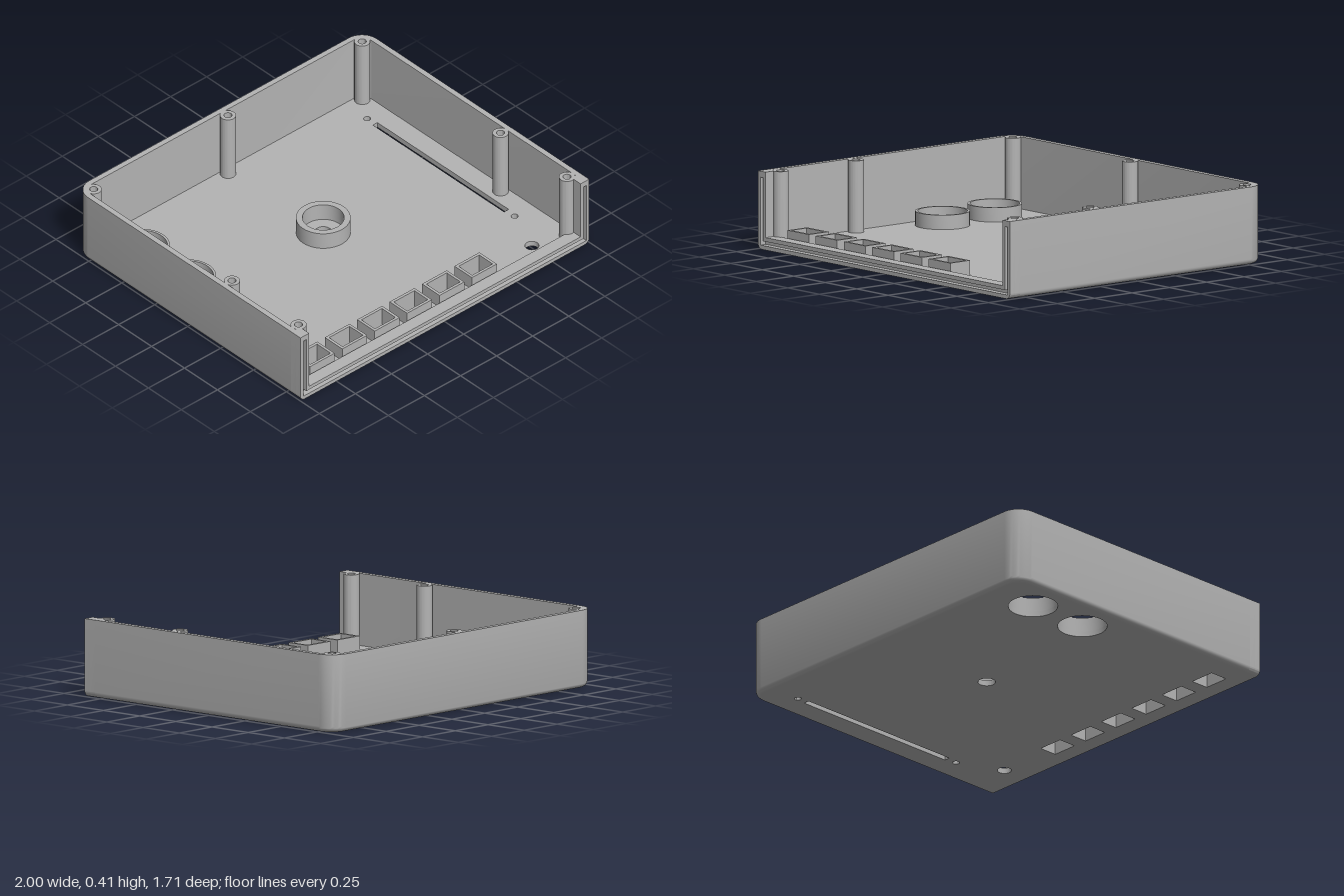
import * as THREE from 'three';
import { toCreasedNormals } from 'three/addons/utils/BufferGeometryUtils.js';

const W = 1, BACK = -0.858, FRONT = 0.857, FRAME_Z = 0.786; // half width, depth limits
const H = 0.405, T = 0.03, R = 0.1; // height, wall thickness, corner radius

export function createModel() {
  const group = new THREE.Group();
  const grey = new THREE.MeshStandardMaterial({ color: 0xb4b4b4 });
  grey.name = 'grey plastic';

  const add = (name, geometry) => {
    const mesh = new THREE.Mesh(toCreasedNormals(geometry, 0.6), grey);
    mesh.name = name;
    group.add(mesh);
    return mesh;
  };
  const circle = (x, z, r, Type = THREE.Path) => {
    const p = new Type();
    p.absarc(x, z, r, 0, Math.PI * 2);
    return p;
  };
  const rect = (x0, z0, x1, z1, Type = THREE.Path) => {
    const p = new Type();
    p.moveTo(x0, z0).lineTo(x1, z0).lineTo(x1, z1).lineTo(x0, z1).closePath();
    return p;
  };
  // Plan shape (x, z) raised from y0 to y1
  const slab = (shape, y0, y1) =>
    new THREE.ExtrudeGeometry(shape, { depth: y1 - y0, bevelEnabled: false, curveSegments: 24 })
      .rotateX(Math.PI / 2).translate(0, y1, 0);
  const ring = (name, x, z, rOut, rIn, y0, y1) => {
    const s = circle(x, z, rOut, THREE.Shape);
    s.holes.push(circle(x, z, rIn));
    add(name, slab(s, y0, y1));
  };

  // U-shaped plan outline, inset by d, from left front round the back to right front
  const outline = (d) => {
    const pts = [[-(W - d), FRAME_Z]];
    for (const [cx, start] of [[-(W - R), Math.PI], [W - R, Math.PI * 1.5]]) {
      for (let i = 0; i <= 12; i++) {
        const a = start + (i / 12) * Math.PI / 2;
        pts.push([cx + (R - d) * Math.cos(a), BACK + R + (R - d) * Math.sin(a)]);
      }
    }
    pts.push([W - d, FRAME_Z]);
    return pts;
  };

  // Walls: section with rounded bottom edge swept along the outline
  const section = [];
  for (let i = 0; i <= 6; i++) {
    const a = (i / 6) * Math.PI / 2;
    section.push([T * (1 - Math.sin(a)), T * (1 - Math.cos(a))]);
  }
  section.push([0, H], [T, H], [T, T]);
  const pos = [], index = [];
  section.forEach(([d, y], j) => {
    const pts = outline(d), n = pts.length;
    pts.forEach(([x, z], i) => {
      pos.push(x, y, z);
      if (j < section.length - 1 && i < n - 1) {
        const a = j * n + i, up = a + n;
        index.push(a, up, a + 1, a + 1, up, up + 1);
      }
    });
  });
  const walls = new THREE.BufferGeometry();
  walls.setAttribute('position', new THREE.Float32BufferAttribute(pos, 3));
  walls.setIndex(index);
  add('walls', walls);

  // Floor with all its openings
  const floor = new THREE.Shape(outline(T).map(([x, z]) => new THREE.Vector2(x, z)));
  const dials = [[-0.8, -0.56], [-0.8, -0.21]];
  const buttons = Array.from({ length: 6 }, (_, i) => -0.776 + i * 0.2245);
  const knob = [0.027, -0.096];
  dials.forEach(([x, z]) => floor.holes.push(circle(x, z, 0.127)));
  buttons.forEach((x) => floor.holes.push(rect(x - 0.071, 0.66, x + 0.071, 0.762)));
  floor.holes.push(
    circle(...knob, 0.045),
    rect(0.825, -0.595, 0.857, 0.402),
    circle(0.841, -0.655, 0.018), circle(0.841, 0.465, 0.018),
    circle(0.738, 0.709, 0.036));
  add('floor', slab(floor, 0, T));

  // Collars around the round and square openings
  dials.forEach(([x, z]) => ring('roundCollar', x, z, 0.14, 0.127, T, 0.105));
  ring('centreCollar', ...knob, 0.14, 0.107, T, 0.123);
  buttons.forEach((x) => {
    const s = rect(x - 0.086, 0.644, x + 0.086, 0.777, THREE.Shape);
    s.holes.push(rect(x - 0.071, 0.66, x + 0.071, 0.762));
    add('buttonCollar', slab(s, T, 0.105));
  });

  // Screw posts
  const posts = [[0, -0.79]];
  for (const s of [-1, 1]) posts.push([s * 0.93, -0.79], [s * 0.93, 0.26], [s * 0.93, 0.765]);
  posts.forEach(([x, z]) => ring('screwPost', x, z, 0.041, 0.021, T, H));

  // Front frame: a U with a narrow groove cut into its front half
  const frame = () => {
    const s = new THREE.Shape();
    s.moveTo(-W, H).lineTo(-W, T);
    s.absarc(-W + T, T, T, Math.PI, Math.PI * 1.5);
    s.absarc(W - T, T, T, Math.PI * 1.5, Math.PI * 2);
    s.lineTo(W, H).lineTo(0.94, H).lineTo(0.94, 0.065).lineTo(-0.94, 0.065).lineTo(-0.94, H);
    return s;
  };
  const extrudeZ = (shape, z0, z1) =>
    new THREE.ExtrudeGeometry(shape, { depth: z1 - z0, bevelEnabled: false, curveSegments: 6 })
      .translate(0, 0, z0);
  const grooved = frame();
  const groove = new THREE.Path();
  groove.moveTo(-0.98, 0.374).lineTo(-0.98, 0.021).lineTo(0.98, 0.021).lineTo(0.98, 0.374)
    .lineTo(0.96, 0.374).lineTo(0.96, 0.044).lineTo(-0.96, 0.044).lineTo(-0.96, 0.374).closePath();
  grooved.holes.push(groove);
  const middle = FRONT - 0.035;
  add('frontFrameBack', extrudeZ(frame(), FRAME_Z, middle));
  add('frontFrameGroove', extrudeZ(grooved, middle, FRONT));

  return group;
}
